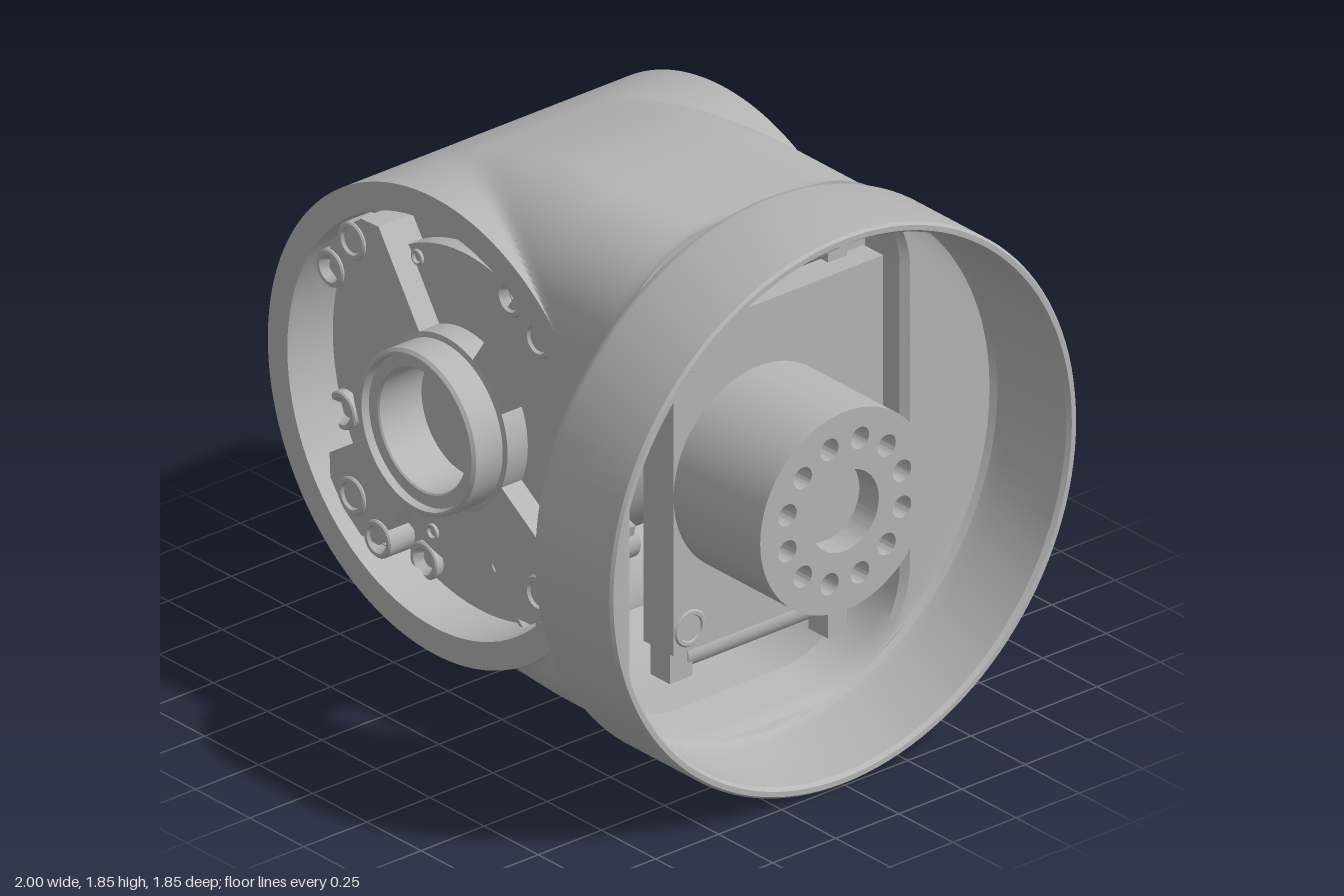
import * as THREE from 'three';
import { toCreasedNormals } from 'three/addons/utils/BufferGeometryUtils.js';
import { ParametricGeometry } from 'three/addons/geometries/ParametricGeometry.js';

const CX = -0.23, CY = 0.925, R = 0.77, BORE = 0.68, HALF = 0.57, CORNER = 0.36;
const grey = new THREE.MeshStandardMaterial({ color: 0xb6b6b6, side: THREE.DoubleSide });
grey.name = 'machined grey';

function add(parent, name, geo, x = 0, y = 0, z = 0) {
  const m = new THREE.Mesh(geo, grey);
  m.name = name;
  m.position.set(x, y, z);
  parent.add(m);
  return m;
}
const crease = (g, a = 0.55) => toCreasedNormals(g, a);

// Lathe whose profile [radius, height] runs along +z, -z or +x
function lathe(points, axis = 'z', seg = 64) {
  const g = new THREE.LatheGeometry(points.map(p => new THREE.Vector2(p[0], p[1])), seg);
  if (axis === 'z') g.rotateX(Math.PI / 2);
  if (axis === '-z') g.rotateX(-Math.PI / 2);
  if (axis === 'x') g.rotateZ(-Math.PI / 2);
  return crease(g);
}
function extrude(shape, depth) {
  return crease(new THREE.ExtrudeGeometry(shape, { depth, bevelEnabled: false, curveSegments: 48 }));
}
function disc(r, x = 0, y = 0, Kind = THREE.Shape) {
  return new Kind().absarc(x, y, r, 0, Math.PI * 2, false);
}
function drill(shape, r, x = 0, y = 0) {
  shape.holes.push(disc(r, x, y, THREE.Path));
  return shape;
}
function boltCircle(shape, n, r, ring) {
  for (let i = 0; i < n; i++) {
    const a = (i + 0.5) / n * Math.PI * 2;
    drill(shape, r, ring * Math.cos(a), ring * Math.sin(a));
  }
  return shape;
}
// Disc with a flat notch on its +x side
function notched(r, a, inner) {
  const s = new THREE.Shape();
  s.absarc(0, 0, r, a, Math.PI * 2 - a, false);
  s.lineTo(inner, -r * Math.sin(a));
  s.lineTo(inner, r * Math.sin(a));
  s.closePath();
  return s;
}
function arcBand(r0, r1, a0, a1) {
  const s = new THREE.Shape();
  s.absarc(0, 0, r1, a0, a1, false);
  s.absarc(0, 0, r0, a1, a0, true);
  s.closePath();
  return s;
}
// Open wall around z with a gap of +-gap radians on the +x side
function openWall(r, depth, gap) {
  return new THREE.CylinderGeometry(r, r, depth, 64, 1, true, Math.PI / 2 + gap, Math.PI * 2 - 2 * gap).rotateX(Math.PI / 2);
}
const screwProfile = [[0.062, -0.1], [0.062, -0.005], [0.057, 0], [0.045, 0], [0.03, -0.03],
  [0.026, -0.03], [0.02, -0.045], [0, -0.045]];

// Skin through rounded-rectangle sections [x, halfWidth, halfHeight, cornerRadius] around the x axis
function loft(sections) {
  const n = sections.length - 1;
  return crease(new ParametricGeometry((u, v, p) => {
    const [x, w, h, c] = sections[Math.round(v * n)];
    const a = (u + 0.5 / 128) * Math.PI * 2, cos = Math.cos(a), sin = Math.sin(a);
    p.set(x, CY + Math.sign(sin) * (h - c) + c * sin, Math.sign(cos) * (w - c) + c * cos);
  }, 128, n), 0.5);
}

// Half height of the housing: drum across z, softly merged with a rounded rectangular neck along x
const neckTop = x => 0.872 - 0.27 * Math.max(0, 0.25 - x) ** 2 - 3 * Math.max(0, -0.45 - x) ** 2;
function halfHeight(x, z) {
  const drum = Math.sqrt(Math.max(0, R * R - (x - CX) ** 2));
  const side = Math.max(0, Math.abs(z) - (HALF - CORNER));
  const neck = neckTop(x) - CORNER + Math.sqrt(Math.max(0, CORNER ** 2 - side * side));
  const k = 0.02, blend = Math.max(0, k - Math.abs(drum - neck));
  return Math.max(drum, neck) + blend * blend / (4 * k);
}
function stationX(t) {
  return t < 0.4 ? CX - R * Math.cos(t / 0.4 * Math.PI / 2) : CX + (t - 0.4) / 0.6 * (0.57 - CX);
}

function buildHousing() {
  const g = new THREE.Group();
  g.name = 'housing';
  for (const s of [1, -1]) {
    const skin = new ParametricGeometry((u, v, p) => {
      const x = stationX(u), z = -Math.cos(v * Math.PI) * HALF;
      p.set(x, CY + s * halfHeight(x, z), z);
    }, 120, 72);
    add(g, s > 0 ? 'upperSkin' : 'lowerSkin', crease(skin, 0.5));
  }
  // Flat cheeks with the round bore
  const outline = [];
  for (let i = 0; i <= 120; i++) {
    const x = stationX(i / 120);
    outline.push(new THREE.Vector2(x - CX, halfHeight(x, HALF)));
  }
  const lower = outline.slice(1).reverse().map(p => new THREE.Vector2(p.x, -p.y));
  const cheekGeo = extrude(drill(new THREE.Shape([...outline, ...lower]), BORE), 0.04);
  add(g, 'frontCheek', cheekGeo, CX, CY, HALF - 0.04);
  add(g, 'backCheek', cheekGeo, CX, CY, -HALF);
  // Bore walls and inner drum liner, open toward the bell
  add(g, 'frontBoreWall', openWall(BORE, 0.23, 0.5), CX, CY, 0.435);
  add(g, 'backBoreWall', openWall(BORE, 0.2, 0.5), CX, CY, -0.45);
  add(g, 'drumLiner', openWall(0.73, 1.06, 1), CX, CY, 0);
  // Filleted root between neck and bell, then the flat back of the bell
  const root = [];
  for (let i = 0; i <= 8; i++) {
    const a = i / 8 * Math.PI / 2, t = 1 - Math.cos(a);
    root.push([0.57 + 0.05 * Math.sin(a), HALF + 0.05 * t, 0.872 + 0.016 * t, CORNER + 0.09 * t]);
  }
  add(g, 'neckFillet', loft(root));
  add(g, 'bellBack', loft([[0.62, 0.62, 0.888, 0.45], [0.62, 0.89, 0.89, 0.89]]));
  // Round bell
  add(g, 'bell', lathe([[0.885, 0.62], [0.905, 0.626], [0.919, 0.642], [0.925, 0.665],
    [0.925, 0.99], [0.917, 1], [0.9, 1], [0.89, 0.985], [0.89, 0.72], [0.88, 0.68]], 'x', 128), 0, CY, 0);
  // Bell floor running into the rounded rectangular passage
  add(g, 'bellPassage', loft([[0.68, 0.88, 0.88, 0.88], [0.66, 0.865, 0.87, 0.865], [0.65, 0.56, 0.85, 0.36],
    [0.63, 0.535, 0.838, 0.33], [0.59, 0.53, 0.83, 0.33], [0.46, 0.53, 0.81, 0.33]]));
  return g;
}

function buildFront() {
  const g = new THREE.Group();
  g.name = 'frontCover';
  g.position.set(CX, CY, 0);
  // Deep outer floor and the raised inner plate with its flat side
  add(g, 'basePlate', extrude(notched(BORE, 0.23, 0.61), 0.05), 0, 0, 0.34);
  add(g, 'innerPlate', extrude(notched(0.54, 0.335, 0.51), 0.06), 0, 0, 0.385);
  // Four tapered spokes
  for (let i = 0; i < 4; i++) {
    const s = new THREE.Shape([[0.2, -0.08], [0.6, -0.16], [0.655, -0.1], [0.67, 0], [0.655, 0.1], [0.6, 0.16], [0.2, 0.08]]
      .map(p => new THREE.Vector2(...p)));
    const arm = add(g, 'spoke', extrude(s, 0.145), 0, 0, 0.38);
    arm.rotation.z = Math.PI / 4 + i * Math.PI / 2;
  }
  // Raised bearing collar
  add(g, 'collar', lathe([[0.285, 0.38], [0.285, 0.525], [0.268, 0.53], [0.268, 0.635], [0.258, 0.645],
    [0.25, 0.645], [0.245, 0.62], [0.205, 0.62], [0.2, 0.615], [0.2, 0.45], [0, 0.45]]));
  // Cap screws on the spokes, and deeper ones around the floor
  const high = [[-0.66, 1.37], [-0.76, 1.24], [0.07, 1.46], [0.2, 1.37], [0.29, 0.63], [0.2, 0.51], [-0.66, 0.51], [-0.54, 0.41]];
  const deep = [[0.37, 1.18], [0.37, 0.7], [-0.84, 0.69], [-0.84, 1.17], [0.02, 0.33], [-0.48, 1.54], [-0.46, 0.33], [0, 1.54]];
  const screw = lathe(screwProfile, 'z', 24);
  for (const [x, y] of high) add(g, 'spokeScrew', screw, x - CX, y - CY, 0.535);
  for (const [x, y] of deep) add(g, 'floorScrew', screw, x - CX, y - CY, 0.42);
  // Small pocket screws
  const small = screw.clone().scale(0.42, 0.42, 0.6);
  for (const [x, y] of [[-0.45, 1.37], [-0.38, 0.47], [-0.08, 0.47]]) add(g, 'pocketScrew', small, x - CX, y - CY, 0.455);
  // Drive body behind the cover
  add(g, 'driveBody', lathe([[0.5, -0.42], [0.5, 0.36]]));
  return g;
}

function buildBack() {
  const g = new THREE.Group();
  g.name = 'backCover';
  g.position.set(CX, CY, 0);
  add(g, 'backPlate', extrude(drill(notched(BORE, 0.4, 0.61), 0.5), 0.05), 0, 0, -0.46);
  // Concentric rings stepping inward
  add(g, 'steppedRings', lathe([[0.53, 0.4], [0.53, 0.475], [0.49, 0.475], [0.48, 0.435], [0.42, 0.435],
    [0.42, 0.415], [0.38, 0.415], [0.36, 0.37], [0.3, 0.37], [0.28, 0.31], [0, 0.31]], '-z', 96));
  // Output flange with bolt circle
  const flange = drill(boltCircle(disc(0.25), 12, 0.026, 0.18), 0.1);
  add(g, 'outputFlange', extrude(flange, 0.04), 0, 0, -0.345);
  add(g, 'centreBolt', lathe([[0.08, 0.3], [0.08, 0.33], [0.07, 0.34], [0.045, 0.34], [0.045, 0.36], [0.035, 0.365],
    [0.025, 0.365], [0.02, 0.34], [0, 0.34]], '-z', 32));
  for (let i = 0; i < 3; i++) {
    const a = i * Math.PI * 2 / 3 + 0.3;
    add(g, 'flangeKey', extrude(arcBand(0.11, 0.145, a, a + 0.5), 0.02), 0, 0, -0.355);
  }
  // Ledges beside the cable notch
  add(g, 'upperLedge', extrude(arcBand(0.635, BORE, 0.42, 1.15), 0.09), 0, 0, -0.54);
  add(g, 'lowerLedge', extrude(arcBand(0.635, BORE, -1.15, -0.42), 0.09), 0, 0, -0.54);
  const screw = lathe(screwProfile, '-z', 24).scale(0.85, 0.85, 0.85);
  for (const [a, z] of [[0.34, -0.51], [0.53, -0.51], [2.05, -0.47], [2.75, -0.47]])
    for (const s of [1, -1]) add(g, 'backScrew', screw, 0.605 * Math.cos(a), s * 0.605 * Math.sin(a), z);
  return g;
}

function buildSideDrive() {
  const g = new THREE.Group();
  g.name = 'sideDrive';
  g.position.y = CY;
  add(g, 'mountPlate', new THREE.BoxGeometry(0.14, 1.08, 0.83), 0.53, 0.005, -0.08);
  // Output hub with bolt holes
  const hg = extrude(drill(boltCircle(disc(0.335), 12, 0.036, 0.235), 0.135), 0.4);
  hg.rotateY(Math.PI / 2);
  add(g, 'outputHub', hg, 0.6, 0, 0);
  add(g, 'hubCore', new THREE.CylinderGeometry(0.3, 0.3, 0.02, 48).rotateZ(Math.PI / 2), 0.9, 0, 0);
  // Spacer rods and end blocks above and below the plate
  for (const s of [1, -1]) {
    add(g, 'spacerRod', new THREE.CylinderGeometry(0.055, 0.055, 0.6, 24).rotateX(Math.PI / 2), 0.48, s * 0.6, -0.08);
    add(g, 'spacerBlock', new THREE.BoxGeometry(0.09, 0.13, 0.09), 0.485, s * 0.605, 0.245);
    add(g, 'endBlock', new THREE.BoxGeometry(0.09, 0.18, 0.075), 0.485, s * 0.635, -0.375);
    add(g, 'endTab', new THREE.BoxGeometry(0.07, 0.11, 0.09), 0.475, s * 0.595, -0.455);
    add(g, 'plateScrew', lathe(screwProfile, 'x', 24), 0.606, s * 0.46, 0.27);
  }
  return g;
}

export function createModel() {
  const model = new THREE.Group();
  model.name = 'elbowJoint';
  model.add(buildHousing(), buildFront(), buildBack(), buildSideDrive());
  return model;
}
